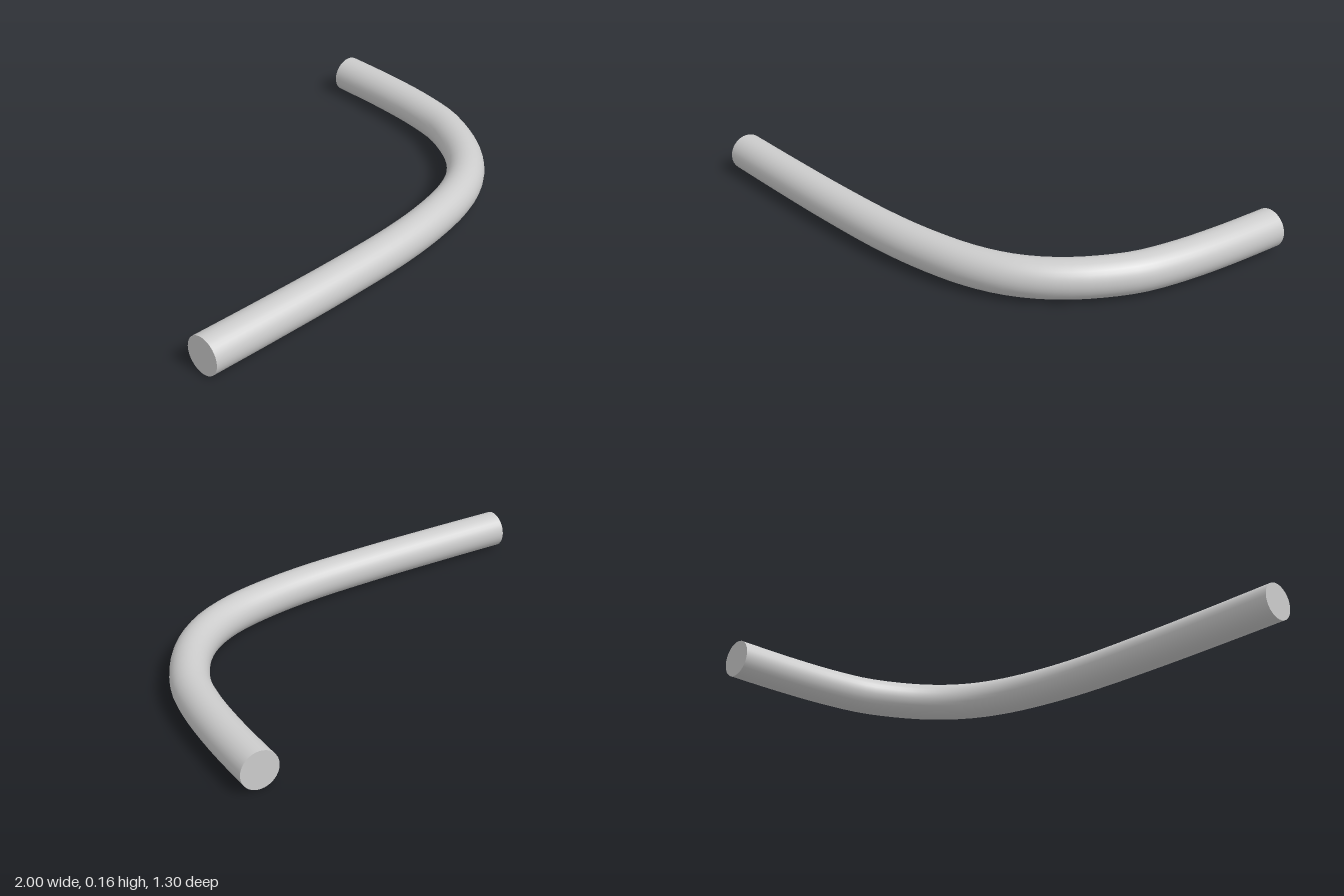
import * as THREE from 'three';

const RADIUS = 0.079;
const SIDES = 32;

// Centre line in plan, as [x, z]
const PATH = [
  [-1, 0.571], [-0.7, 0.569], [-0.35, 0.562], [0, 0.543], [0.215, 0.513], [0.415, 0.463],
  [0.555, 0.4], [0.657, 0.324], [0.737, 0.235], [0.8, 0.135], [0.86, 0],
  [0.895, -0.18], [0.912, -0.38], [0.917, -0.55], [0.918, -0.65],
];

export function createModel() {
  const group = new THREE.Group();
  group.name = 'bentRod';
  const material = new THREE.MeshStandardMaterial({ color: 0xcccccc });
  const curve = new THREE.CatmullRomCurve3(PATH.map(([x, z]) => new THREE.Vector3(x, RADIUS, z)));

  // Swept round bar
  const rod = new THREE.Mesh(new THREE.TubeGeometry(curve, 48, RADIUS, SIDES), material);
  rod.name = 'rod';
  group.add(rod);

  // Flat discs closing both ends, facing outwards
  for (const [name, t, sign] of [['rightEndCap', 0, -1], ['backEndCap', 1, 1]]) {
    const cap = new THREE.Mesh(new THREE.CircleGeometry(RADIUS, SIDES), material);
    const outward = curve.getTangentAt(t).multiplyScalar(sign);
    cap.name = name;
    cap.position.copy(curve.getPointAt(t));
    cap.quaternion.setFromUnitVectors(new THREE.Vector3(0, 0, 1), outward);
    group.add(cap);
  }
  return group;
}
